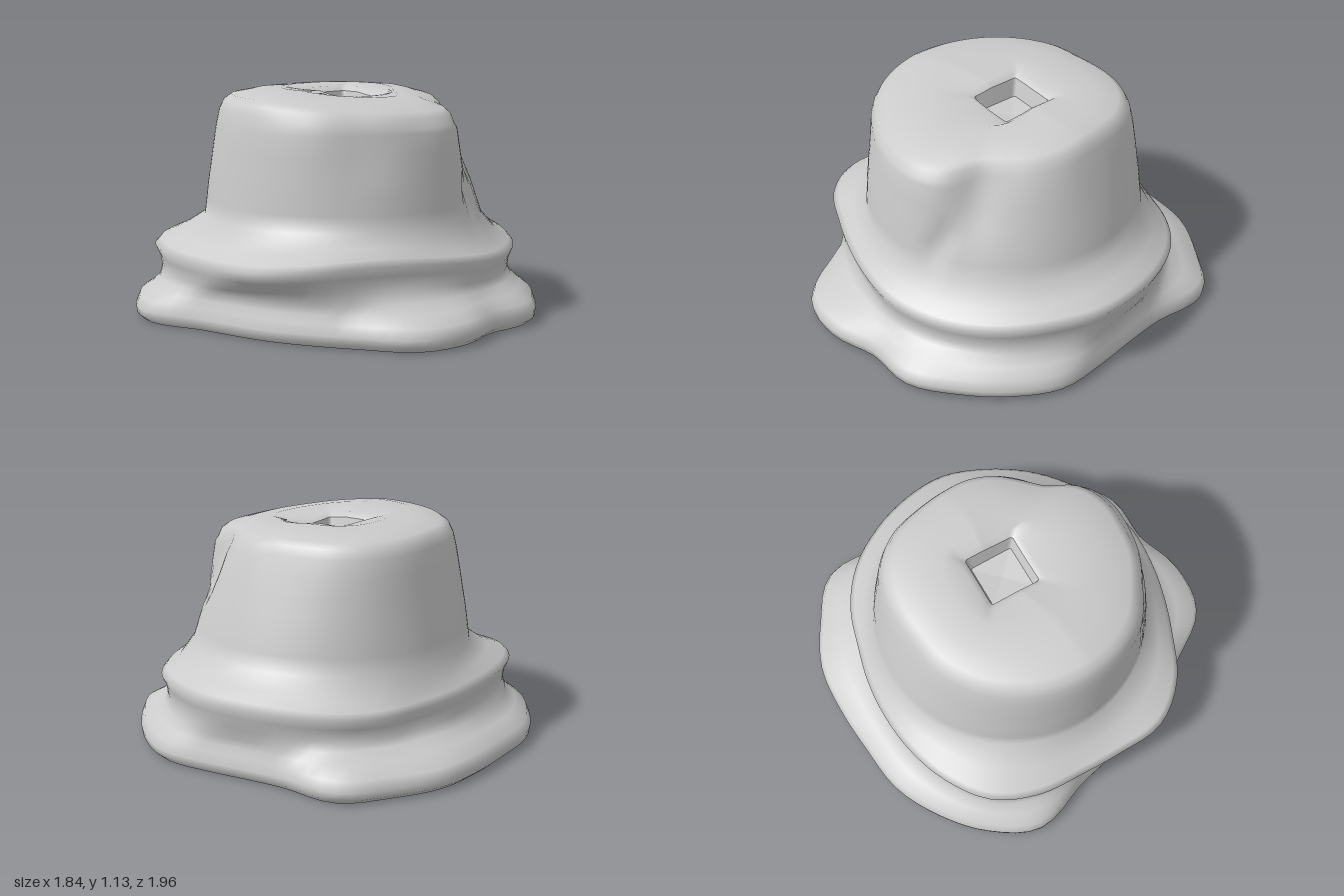
import * as THREE from 'three';

const SEG = 96;
const lerp = THREE.MathUtils.lerp;

// Radii every 15 degrees, turning from +x towards +z
const LOWER = [.86, .89, .96, .97, .98, 1.0, .94, 1.01, 1.03, .92, .86, .84, .84, .89, 1.04, 1.05, 1.03, 1.01, .97, .98, 1.02, 1.03, 1.05, .9];
const UPPER = [.89, .9, .88, .87, .86, .85, .84, .82, .82, .85, .92, .95, .9, .89, .93, .95, .91, .86, .82, .8, .8, .84, .87, .88];
const CROWN = [.55, .55, .54, .52, .53, .61, .64, .64, .65, .65, .67, .67, .66, .65, .64, .63, .62, .61, .59, .6, .62, .63, .61, .57];

// Smooth periodic lookup
function sample(table, a) {
  const n = table.length, f = (a / (Math.PI * 2)) * n, i = Math.floor(f), t = f - i;
  const [p, q, r, s] = [-1, 0, 1, 2].map((k) => table[(i + k + n) % n]);
  return q + 0.5 * t * (r - p + t * (2 * p - 5 * q + 4 * r - s + t * (3 * (q - r) + s - p)));
}

// Soft dents pressed into the front of the crown: angle, height, widths, depth
const DENTS = [
  [1.08, 0.86, 0.22, 0.17, 0.04],
  [1.30, 0.65, 0.09, 0.07, 0.05],
  [2.2, 0.9, 0.25, 0.1, 0.015],
];
function dent(a, y) {
  return DENTS.reduce((d, [da, dy, wa, wy, depth]) =>
    d + depth * Math.exp(-(((a - da) / wa) ** 2) - ((y - dy) / wy) ** 2), 0);
}

// Square opening in the top, slightly turned
function squareRadius(a, half) {
  const q = Math.PI / 2, turned = a - 0.16 + q / 2;
  return half / Math.cos(turned - Math.floor(turned / q) * q - q / 2);
}

// Loops from the foot up: [height, radius rule(lower, upper, crown)]
const K = 0.7;
const ROWS = [
  [0.0, (l) => l * 0.965],
  [0.025, (l) => l * 0.995],
  [0.06, (l) => l],
  [0.11, (l) => l * 0.98],
  [0.15, (l, u) => lerp(l, Math.min(l, u), 0.45) * 0.97],
  [0.19, (l, u) => lerp(l, Math.min(l, u), 0.8) * 0.96],
  [0.24, (l, u) => Math.min(l + 0.03, u) * 0.965],
  [0.3, (l, u) => u * 0.975],
  [0.35, (l, u) => u],
  [0.38, (l, u) => u * 0.97],
  [0.42, (l, u) => lerp(u, K, 0.55)],
  [0.5, () => K],
  [0.58, (l, u, c) => lerp(K, c, 0.14)],
  [0.66, (l, u, c) => lerp(K, c, 0.27)],
  [0.75, (l, u, c) => lerp(K, c, 0.46)],
  [0.85, (l, u, c) => lerp(K, c, 0.66)],
  [0.95, (l, u, c) => lerp(K, c, 0.88)],
  [1.03, (l, u, c) => c * 0.985],
  [1.075, (l, u, c) => c * 0.95],
  [1.1, (l, u, c) => c * 0.89],
  [1.12, (l, u, c) => c * 0.72],
  [1.13, (l, u, c) => c * 0.5],
];

// Skin joining closed loops of points
function loft(loops) {
  const index = [];
  for (let j = 0; j < loops.length - 1; j++) {
    for (let i = 0; i < SEG; i++) {
      const a = j * SEG + i, b = j * SEG + ((i + 1) % SEG);
      index.push(a, a + SEG, b, b, a + SEG, b + SEG);
    }
  }
  const geo = new THREE.BufferGeometry();
  geo.setAttribute('position', new THREE.Float32BufferAttribute(loops.flat(2), 3));
  geo.setIndex(index);
  geo.computeVertexNormals();
  return geo;
}

const angles = Array.from({ length: SEG }, (_, i) => (i / SEG) * Math.PI * 2);

function bodyLoop([y, rule]) {
  return angles.map((a) => {
    const r = rule(sample(LOWER, a), sample(UPPER, a), sample(CROWN, a)) - dent(a, y);
    // The brim waves gently and the top leans down at the front
    const wave = y > 0.2 && y < 0.45 ? 0.02 * Math.sin(3 * a + 1) : 0;
    const lean = y > 1 ? 0.06 * Math.max(0, Math.sin(a)) * Math.min(1, r * 1.7) : 0;
    return [r * Math.cos(a), y + wave - lean, r * Math.sin(a)];
  });
}

// Loop of the square opening
const holeLoop = (y, half, dip) => angles.map((a) => {
  const r = squareRadius(a, half);
  return [0.02 + r * Math.cos(a), y - dip * Math.max(0, Math.sin(a)), -0.03 + r * Math.sin(a)];
});

export function createModel() {
  const group = new THREE.Group();
  const material = new THREE.MeshStandardMaterial({ color: 0xcccccc, side: THREE.DoubleSide });
  const add = (name, geo) => {
    const mesh = new THREE.Mesh(geo, material);
    mesh.name = name;
    group.add(mesh);
  };

  // Brim, crown and sunken lip as one soft skin
  const loops = ROWS.map(bodyLoop);
  loops.push(holeLoop(1.115, 0.16, 0.03), holeLoop(1.09, 0.13, 0.02));
  add('hatBody', loft(loops));

  // Walls and floor of the opening
  add('topOpening', loft([holeLoop(1.09, 0.13, 0.02), holeLoop(1.0, 0.11, 0)]));
  add('openingFloor', loft([holeLoop(1.0, 0.11, 0), holeLoop(0.99, 0.0001, 0)]));

  // Flat underside
  const foot = loops[0];
  add('underside', loft([foot.map(() => [0, 0, 0]), foot]));

  return group;
}
